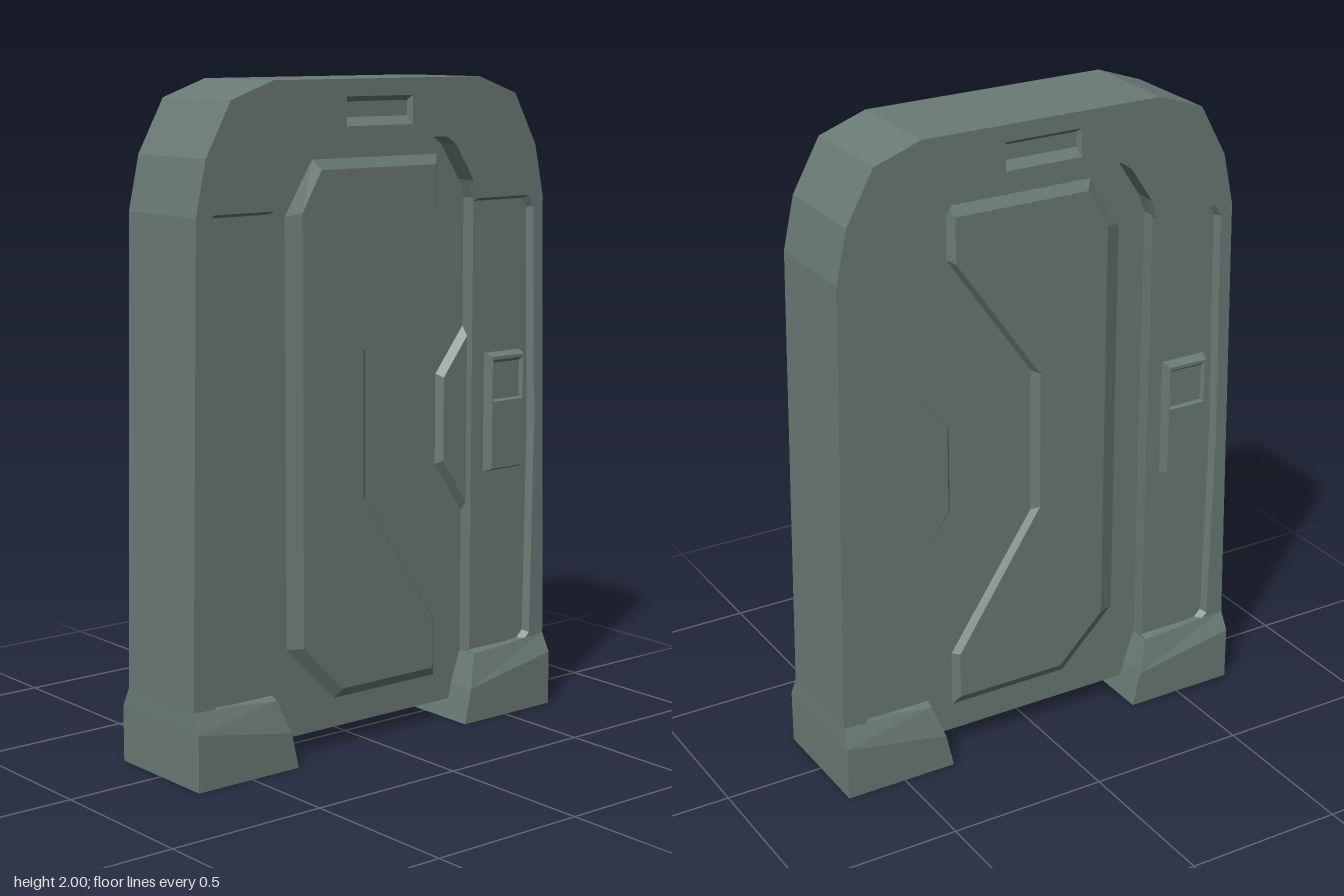
import * as THREE from 'three';

const material = new THREE.MeshStandardMaterial({ color: 0x6a7a75, flatShading: true });
const flip = (pts) => pts.map(([u, y]) => [-u, y]);
const rev = (pts) => [...pts].reverse();
const rect = (u0, y0, u1, y1) => [[u0, y0], [u1, y0], [u1, y1], [u0, y1]];

// Skin of quads through loops of equal length, each loop made of [x, y, z] corners
function skin(loops) {
  const out = [];
  for (let k = 0; k + 1 < loops.length; k++) {
    const a = loops[k], b = loops[k + 1], n = a.length;
    for (let i = 0; i < n; i++) {
      const j = (i + 1) % n;
      out.push(...a[i], ...a[j], ...b[j], ...a[i], ...b[j], ...b[i]);
    }
  }
  return out;
}

function toGeometry(positions) {
  const g = new THREE.BufferGeometry();
  g.setAttribute('position', new THREE.Float32BufferAttribute(positions, 3));
  g.computeVertexNormals();
  return g;
}

// Relief facing +x: levels are [outline, height]; outlines lie in (u = -z, y).
// Hole levels run clockwise and end on the cap height.
function relief(levels, holeLevels = []) {
  const place = ([pts, h]) => pts.map(([u, y]) => [h, y, -u]);
  const out = skin(levels.map(place));
  const [cap, h] = levels[levels.length - 1];
  const hole = holeLevels.length ? holeLevels[holeLevels.length - 1][0] : null;
  const v2 = (pts) => pts.map(([u, y]) => new THREE.Vector2(u, y));
  const all = place([hole ? [...cap, ...hole] : cap, h]);
  for (const f of THREE.ShapeUtils.triangulateShape(v2(cap), hole ? [v2(hole)] : []))
    f.forEach((i) => out.push(...all[i]));
  if (hole) out.push(...skin(holeLevels.map(place)));
  return toGeometry(out);
}

// Full thickness plate centred on x = 0
function plate(pts, half) {
  const shape = new THREE.Shape(pts.map(([u, y]) => new THREE.Vector2(u, y)));
  return new THREE.ExtrudeGeometry(shape, { depth: 2 * half, bevelEnabled: false })
    .translate(0, 0, -half).rotateY(Math.PI / 2);
}

// Mirrored copy in x with the winding restored
function mirrorX(geometry) {
  const p = geometry.attributes.position.array, out = [];
  for (let t = 0; t < p.length; t += 9)
    for (const o of [0, 6, 3]) out.push(-p[t + o], p[t + o + 1], p[t + o + 2]);
  return toGeometry(out);
}

// Arched band from the right half of its outer and inner edges, bottom to top
const arch = (outer, inner) => [...outer, ...rev(flip(outer)), ...flip(inner), ...rev(inner)];

export function createModel() {
  const model = new THREE.Group();
  model.name = 'slidingDoor';
  const add = (name, geometry) => {
    const m = new THREE.Mesh(geometry, material);
    m.name = name;
    model.add(m);
    return m;
  };
  const addBoth = (name, geometry) => {
    add(name + 'Left', geometry);
    add(name + 'Right', mirrorX(geometry));
  };

  const CORE = 0.14, FACE = 0.163, DOOR = 0.095;
  const outer = [[0.688, 0.15], [0.66, 1.63], [0.625, 1.79], [0.538, 1.948], [0.39, 2]];
  const crown = [[0.37, 1.69], [0.297, 1.8], [0.26, 1.825]];

  // Frame core, whose sides form the sunken side panels
  add('frameCore', plate(arch(outer, [[0.38, 0.15], [0.39, 0.21], [0.39, 1.635], ...crown]), CORE));

  // Raised rim around the panels, with a tapered slot above the door
  const rimTop = [[0.38, 0.15], [0.39, 0.21], [0.595, 0.21], [0.627, 0.24], [0.636, 0.9],
    [0.62, 1.6], [0.6, 1.635], [0.39, 1.635], ...crown];
  const rimBase = [[0.38, 0.15], [0.39, 0.22], [0.59, 0.22], [0.617, 0.246], [0.626, 0.9],
    [0.61, 1.597], [0.594, 1.625], [0.39, 1.625], ...crown];
  addBoth('frameRim', relief(
    [[arch(outer, rimBase), CORE], [arch(outer, rimTop), FACE]],
    [[rev(rect(-0.12, 1.89, 0.12, 1.935)), CORE + 0.001], [rev(rect(-0.125, 1.865, 0.125, 1.95)), FACE]]));
  addBoth('slotFloor', relief([[rect(-0.12, 1.89, 0.12, 1.935), CORE + 0.001]]));

  // Door leaf
  const half = [[0.39, 0.06], [0.39, 1.635], ...crown];
  add('doorLeaf', plate([...half, ...rev(flip(half))], DOOR));

  // Raised door panel ending in a chevron
  addBoth('doorPanel', relief([
    [[[-0.3, 0.33], [-0.12, 0.15], [0.28, 0.15], [0.28, 0.33], [0.0, 0.75], [0.0, 1.21],
      [0.28, 1.61], [0.28, 1.77], [-0.2, 1.77], [-0.3, 1.61]], DOOR],
    [[[-0.25, 0.33], [-0.1, 0.18], [0.26, 0.18], [0.26, 0.33], [-0.022, 0.76], [-0.022, 1.2],
      [0.26, 1.6], [0.26, 1.74], [-0.18, 1.74], [-0.25, 1.62]], DOOR + 0.02],
  ]));

  // Bevelled grip plate at the door edge
  addBoth('gripPlate', relief([
    [[[0.39, 0.66], [0.39, 1.24], [0.28, 1.1], [0.28, 0.82]], DOOR],
    [[[0.39, 0.69], [0.39, 1.21], [0.296, 1.09], [0.296, 0.83]], DOOR + 0.022],
  ]));

  // Control pad with a sunken screen, turned half round for the other face
  const pad = relief(
    [[rect(0.44, 0.782, 0.588, 1.155), CORE], [rect(0.448, 0.794, 0.58, 1.145), 0.172]],
    [[rev(rect(0.458, 1.01, 0.57, 1.125)), 0.16], [rev(rect(0.452, 1.005, 0.576, 1.135)), 0.172]]);
  const screen = relief([[rect(0.458, 1.01, 0.57, 1.125), 0.16]]);
  for (const [side, turn] of [['Left', 0], ['Right', Math.PI]]) {
    add('controlPad' + side, pad).rotation.y = turn;
    add('controlScreen' + side, screen).rotation.y = turn;
  }

  // Flared feet: rows are [outer z, outer y, inner z, inner y, half width]
  const rows = [[0.69, 0, 0.33, 0, 0.19], [0.69, 0.17, 0.355, 0.11, 0.19], [0.686, 0.23, 0.39, 0.21, FACE]];
  const loops = rows.map(([zo, yo, zi, yi, w]) => [[w, yo, zo], [w, yi, zi], [-w, yi, zi], [-w, yo, zo]]);
  const cap = ([a, b, c, d]) => [...a, ...b, ...c, ...a, ...c, ...d];
  const foot = toGeometry([...skin(loops), ...cap(loops[2]), ...cap(rev(loops[0]))]);
  add('footFront', foot);
  add('footBack', foot).rotation.y = Math.PI;

  return model;
}
